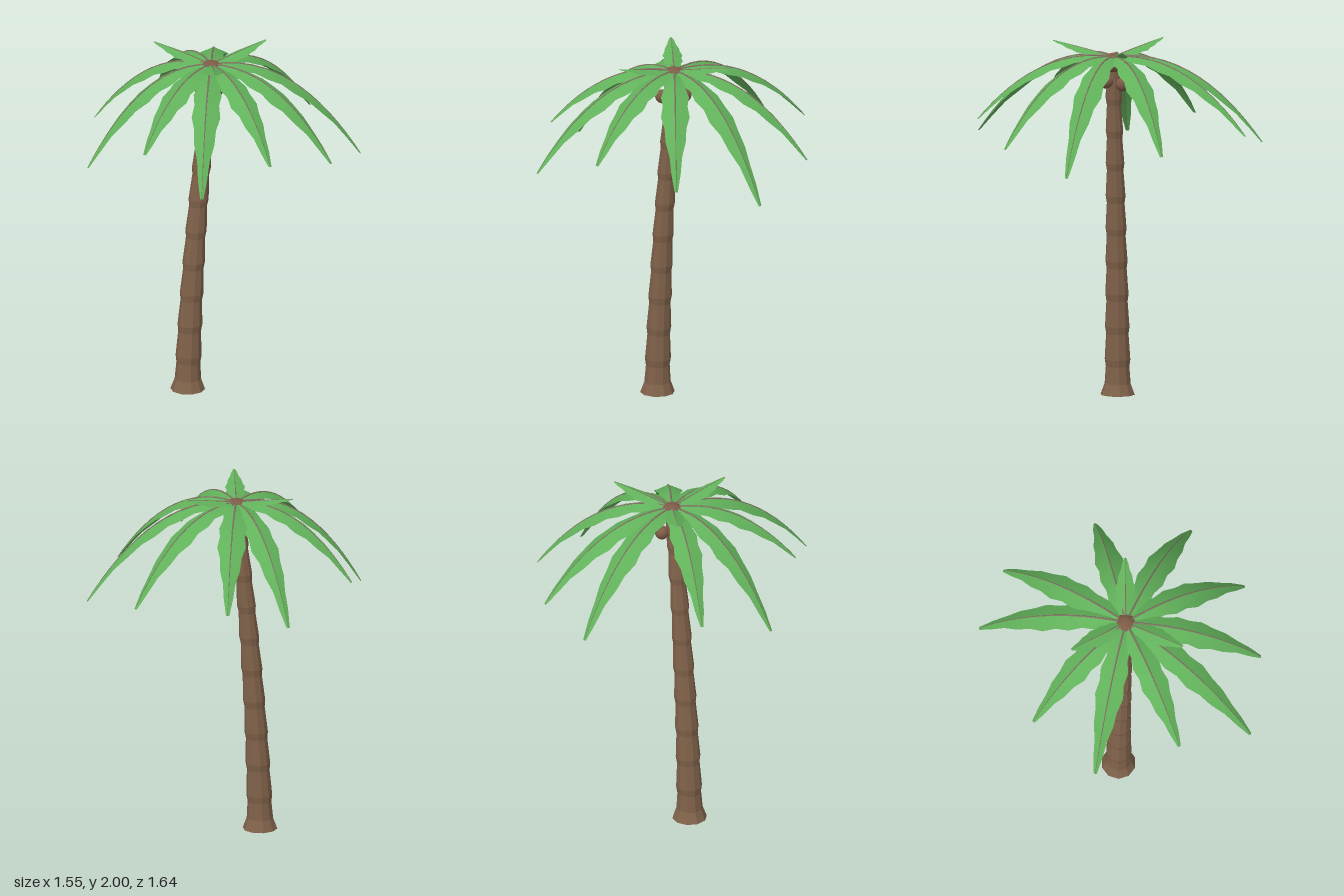
import * as THREE from 'three';

const bark = new THREE.MeshStandardMaterial({ color: 0x80624a });
bark.name = 'bark brown';
const husk = new THREE.MeshStandardMaterial({ color: 0x7d5b46 });
husk.name = 'husk brown';
const green = new THREE.MeshStandardMaterial({ color: 0x61b15a, side: THREE.DoubleSide });
green.name = 'leaf green';
const ribTan = new THREE.MeshStandardMaterial({ color: 0x867466 });
ribTan.name = 'rib tan';

const CROWN = new THREE.Vector3(-0.055, 1.926, 0);
const leanX = (y) => -0.19 + 0.135 * Math.pow(Math.max(y, 0) / 1.9, 1.5);

// Ten-sided trunk with a flared foot and ring steps, leaning by a rule
function makeTrunk() {
  const p = [[0, 0], [0.097, 0], [0.074, 0.062]];
  for (let i = 0; i < 9; i++) {
    const y = 0.18 + i * 0.186;
    const r = 0.072 - 0.0178 * y;
    p.push([r - 0.002, y - 0.02], [r + 0.004, y + 0.02]);
  }
  p.push([0.04, 1.88], [0, 1.88]);
  let geo = new THREE.LatheGeometry(p.map(([x, y]) => new THREE.Vector2(x, y)), 10);
  const pos = geo.attributes.position;
  for (let i = 0; i < pos.count; i++) {
    pos.setX(i, pos.getX(i) + leanX(pos.getY(i)));
    pos.setZ(i, pos.getZ(i) + 0.003);
  }
  geo = geo.toNonIndexed();
  geo.computeVertexNormals(); // flat facets
  const mesh = new THREE.Mesh(geo, bark);
  mesh.name = 'trunk';
  return mesh;
}

// Thin rib along the fold, tapering towards the tip
function makeRib(curve, radius) {
  const segments = 14;
  const sides = 5;
  const geo = new THREE.TubeGeometry(curve, segments, radius, sides);
  const pos = geo.attributes.position;
  const v = new THREE.Vector3();
  for (let i = 0; i < pos.count; i++) {
    const t = Math.floor(i / (sides + 1)) / segments;
    const c = curve.getPointAt(t);
    v.fromBufferAttribute(pos, i).sub(c).multiplyScalar(1 - 0.85 * t).add(c);
    pos.setXYZ(i, v.x, v.y, v.z);
  }
  const mesh = new THREE.Mesh(geo, ribTan);
  mesh.name = 'leafRib';
  return mesh;
}

// Half widths from root to tip, with wavy edges
const WIDTHS = [0.022, 0.046, 0.062, 0.06, 0.078, 0.069, 0.08, 0.061, 0.056, 0.035, 0.026, 0.009];

// Folded leaf: two smooth halves meeting along an arched midrib
function makeFrond(name, root, mid, tip, widthScale) {
  const curve = new THREE.QuadraticBezierCurve3(root, mid, tip);
  const across = new THREE.Vector3(-(tip.z - root.z), 0, tip.x - root.x).normalize();
  const frond = new THREE.Group();
  frond.name = name;
  const n = WIDTHS.length;
  for (const side of [1, -1]) {
    const verts = [];
    const index = [];
    for (let i = 0; i < n; i++) {
      const c = curve.getPoint(i / (n - 1));
      const t = curve.getTangent(i / (n - 1));
      const up = new THREE.Vector3().crossVectors(across, t).normalize();
      const w = WIDTHS[i] * widthScale;
      const e = c.clone().addScaledVector(across, side * w).addScaledVector(up, -0.4 * w);
      verts.push(c.x, c.y, c.z, e.x, e.y, e.z);
      if (i < n - 1) {
        const a = i * 2;
        if (side > 0) index.push(a, a + 1, a + 2, a + 1, a + 3, a + 2);
        else index.push(a, a + 2, a + 1, a + 1, a + 2, a + 3);
      }
    }
    const geo = new THREE.BufferGeometry();
    geo.setAttribute('position', new THREE.Float32BufferAttribute(verts, 3));
    geo.setIndex(index);
    geo.computeVertexNormals();
    const mesh = new THREE.Mesh(geo, green);
    mesh.name = side > 0 ? 'leafHalfA' : 'leafHalfB';
    frond.add(mesh);
  }
  frond.add(makeRib(curve, 0.006 * widthScale));
  return frond;
}

export function createModel() {
  const palm = new THREE.Group();
  palm.name = 'palmTree';
  palm.add(makeTrunk());

  // Flattened crown bud and coconuts
  const ball = (name, r, x, y, z, flat = 1) => {
    const m = new THREE.Mesh(new THREE.SphereGeometry(r, 14, 10), husk);
    m.name = name;
    m.position.set(x, y, z);
    m.scale.y = flat;
    palm.add(m);
  };
  ball('crownBud', 0.066, CROWN.x, 1.892, 0, 0.84);
  [[-0.1, 1.775, 0.05], [-0.03, 1.79, 0.035], [-0.03, 1.775, -0.055], [-0.107, 1.78, -0.03]]
    .forEach(([x, y, z]) => ball('coconut', 0.039, x, y, z));

  // Long drooping fronds, given by tip
  const longTips = [
    [-0.18, 1.45, -0.82], [0.16, 1.535, -0.79], [0.605, 1.475, -0.4], [0.773, 1.365, 0.11],
    [0.515, 1.475, 0.51], [0.11, 1.58, 0.74], [-0.3, 1.45, 0.815], [-0.55, 1.61, 0.48],
    [-0.777, 1.395, 0.06], [-0.64, 1.53, -0.35],
  ];
  for (const t of longTips) {
    const tip = new THREE.Vector3(...t);
    const mid = CROWN.clone().lerp(tip, 0.55).setY(1.988);
    palm.add(makeFrond('longFrond', CROWN, mid, tip, 1));
  }

  // Short young fronds rising from the middle
  for (const t of [[-0.328, 2, -0.227], [0.283, 2, -0.115], [-0.115, 2, 0.355]]) {
    const tip = new THREE.Vector3(...t);
    const mid = CROWN.clone().lerp(tip, 0.5).setY(1.968);
    palm.add(makeFrond('youngFrond', CROWN, mid, tip, 0.7));
  }
  return palm;
}
